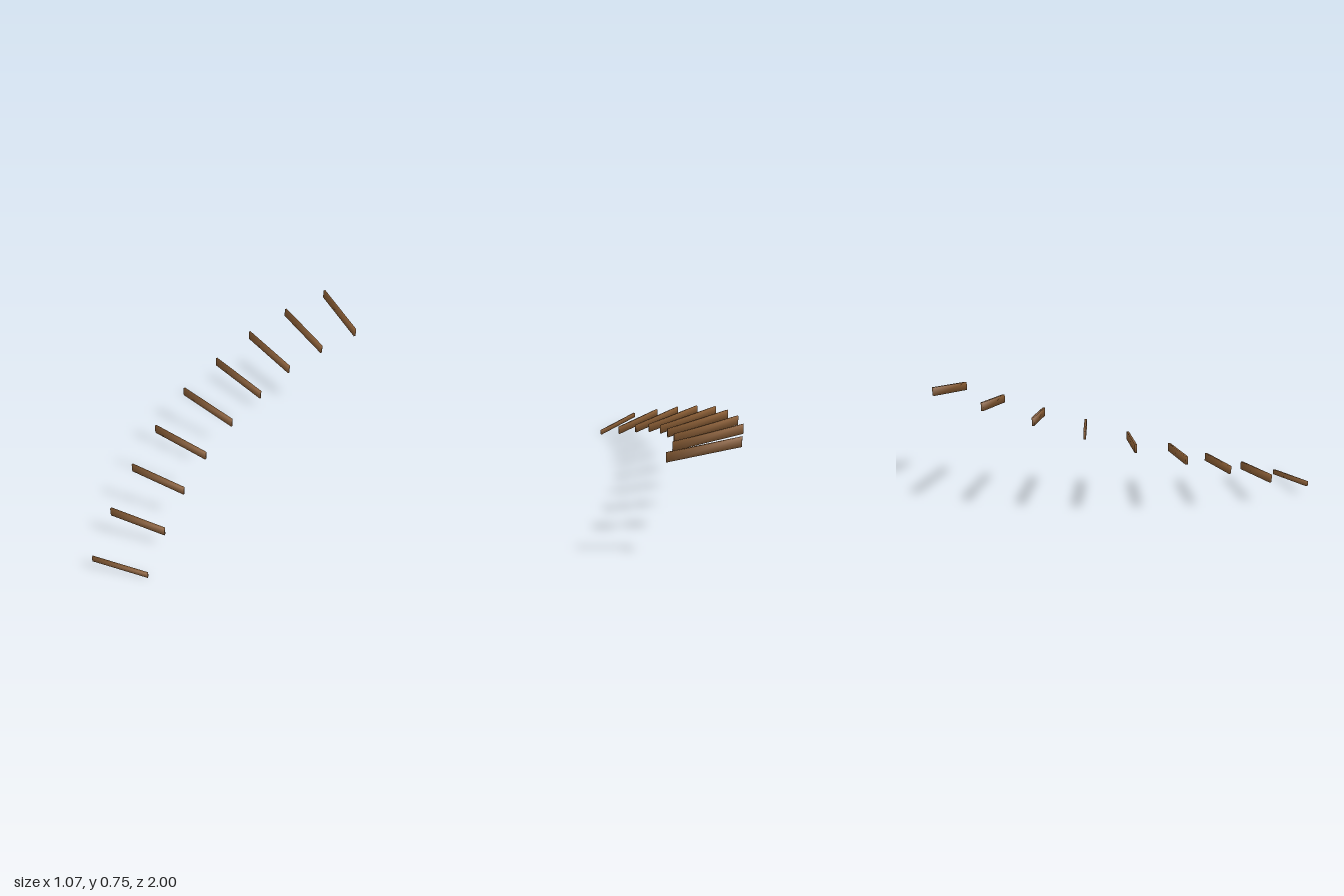
import * as THREE from 'three';

const THICKNESS = 0.013;

// Each tread: left end [x, bottom y, z], right end [x, bottom y, z], height
const TREADS = [
  [[-0.533, 0.059, 0.99], [-0.23, 0.002, 0.972], 0.03],
  [[-0.531, 0.146, 0.721], [-0.218, 0.087, 0.731], 0.049],
  [[-0.502, 0.25, 0.455], [-0.185, 0.183, 0.492], 0.048],
  [[-0.453, 0.343, 0.198], [-0.127, 0.271, 0.269], 0.049],
  [[-0.368, 0.437, -0.075], [-0.038, 0.356, 0.04], 0.049],
  [[-0.242, 0.515, -0.321], [0.075, 0.43, -0.175], 0.049],
  [[-0.1, 0.585, -0.56], [0.196, 0.496, -0.385], 0.049],
  [[0.073, 0.648, -0.785], [0.354, 0.553, -0.571], 0.049],
  [[0.276, 0.699, -0.994], [0.528, 0.599, -0.743], 0.049],
];

// Upright board sheared between two ends, with normals shared at its corners
function boardGeometry(a, b, height) {
  const start = new THREE.Vector3(...a);
  const end = new THREE.Vector3(...b);
  const along = new THREE.Vector3(end.x - start.x, 0, end.z - start.z).normalize();
  const across = new THREE.Vector3(-along.z, 0, along.x);
  const geometry = new THREE.BoxGeometry(1, 1, 1);
  const pos = geometry.attributes.position;
  const normal = geometry.attributes.normal;
  const p = new THREE.Vector3();
  const n = new THREE.Vector3();
  for (let i = 0; i < pos.count; i++) {
    const u = pos.getX(i), v = pos.getY(i), w = pos.getZ(i);
    p.lerpVectors(start, end, u + 0.5).addScaledVector(across, w * THICKNESS);
    p.y += (v + 0.5) * height;
    n.set(0, v, 0).addScaledVector(along, u).addScaledVector(across, w).normalize();
    pos.setXYZ(i, p.x, p.y, p.z);
    normal.setXYZ(i, n.x, n.y, n.z);
  }
  return geometry;
}

export function createModel() {
  const wood = new THREE.MeshStandardMaterial({ color: 0x8b5e35 });
  wood.name = 'brown wood';

  const model = new THREE.Group();
  model.name = 'curvedStairBoards';
  // Rising, turning row of boards
  TREADS.forEach(([a, b, height], i) => {
    const board = new THREE.Mesh(boardGeometry(a, b, height), wood);
    board.name = `stairBoard${i + 1}`;
    model.add(board);
  });
  return model;
}
